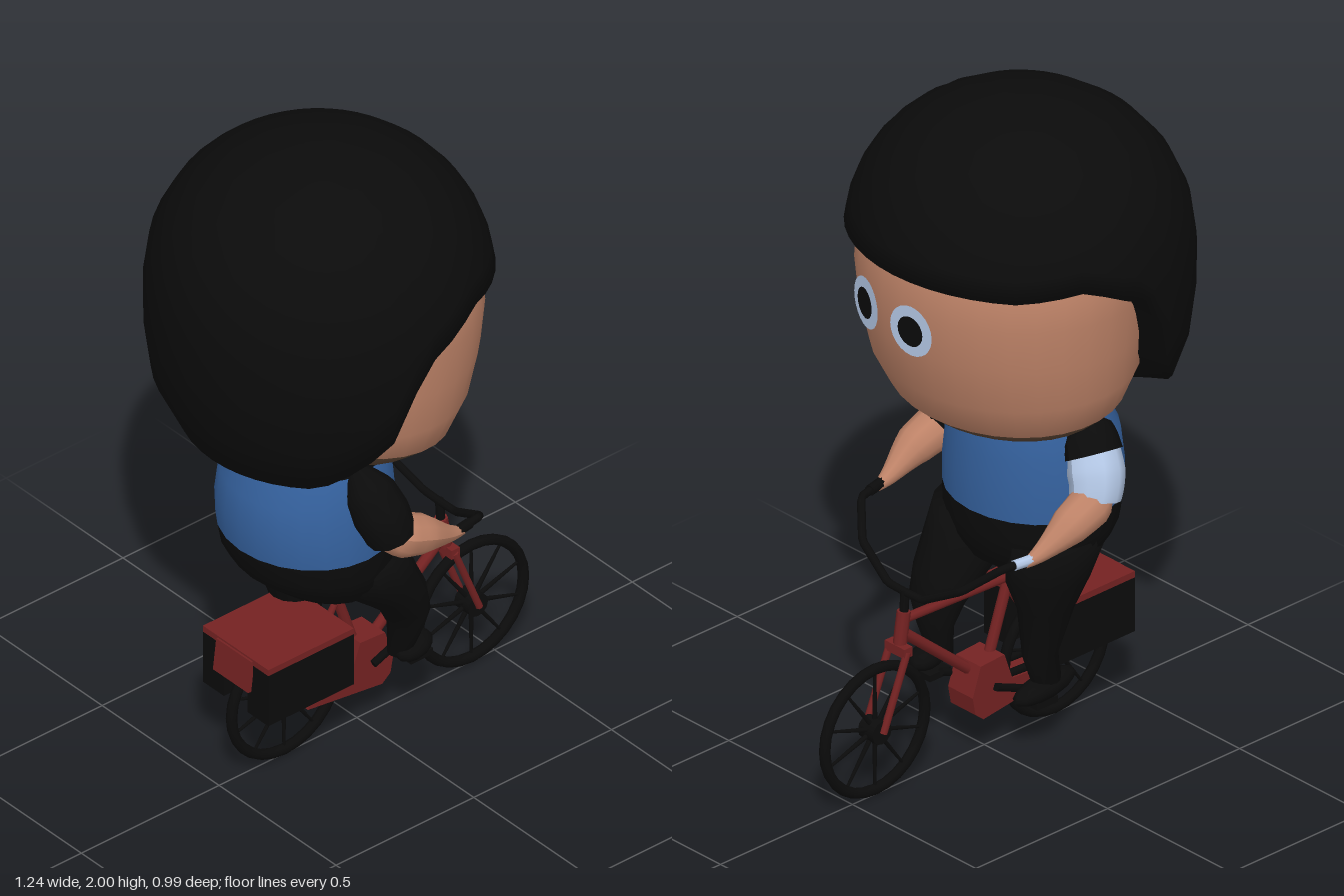
import * as THREE from 'three';

const mat = (name, color) => Object.assign(new THREE.MeshStandardMaterial({ color }), { name });
const V = (p) => new THREE.Vector3(...p);

export function createModel() {
  const model = new THREE.Group();
  const black = mat('black', 0x0b0b0b), skin = mat('skin', 0xbd8267), blue = mat('shirt blue', 0x34609c);
  const red = mat('frame red', 0x742222), pale = mat('pale blue white', 0xb4c8e6), stubble = mat('stubble brown', 0x5a4433);

  const add = (name, geo, material, parent = model) => {
    const m = new THREE.Mesh(geo, material);
    m.name = name;
    parent.add(m);
    return m;
  };

  // Closed skin over rows of points, bottom to top; splits = rows where the material changes
  const skinRows = (rows, splits = []) => {
    const n = rows[0].length, pos = [], idx = [];
    rows.forEach((r) => r.forEach((p) => pos.push(...p)));
    const centre = (row) => {
      for (let k = 0; k < 3; k++) pos.push(row.reduce((s, p) => s + p[k], 0) / n);
      return pos.length / 3 - 1;
    };
    const lo = centre(rows[0]), hi = centre(rows.at(-1)), last = (rows.length - 1) * n;
    for (let j = 0; j < n; j++) idx.push(lo, j, (j + 1) % n);
    for (let i = 0; i < rows.length - 1; i++) {
      for (let j = 0; j < n; j++) {
        const a = i * n + j, b = i * n + (j + 1) % n;
        idx.push(a, a + n, b, b, a + n, b + n);
      }
    }
    for (let j = 0; j < n; j++) idx.push(hi, last + (j + 1) % n, last + j);
    const g = new THREE.BufferGeometry();
    g.setAttribute('position', new THREE.Float32BufferAttribute(pos, 3));
    g.setIndex(idx);
    if (splits.length) {
      const cuts = [0, ...splits.map((k) => n * 3 + k * n * 6), idx.length];
      for (let k = 0; k < cuts.length - 1; k++) g.addGroup(cuts[k], cuts[k + 1] - cuts[k], k);
    }
    g.computeVertexNormals();
    return g;
  };
  // Ellipse rings: [y, centre x, radius x, radius z, centre z, tilt]
  const loft = (rings, n, splits) => skinRows(rings.map(([y, cx, rx, rz, cz = 0, tilt = 0]) =>
    Array.from({ length: n }, (_, j) => {
      const a = j / n * Math.PI * 2;
      return [cx + rx * Math.cos(a), y + tilt * Math.cos(a), cz + rz * Math.sin(a)];
    })), splits);

  // Tapered limb along a smooth path
  const limb = (points, radii, sides = 10) => {
    const curve = new THREE.CatmullRomCurve3(points.map(V)), steps = 14;
    const g = new THREE.TubeGeometry(curve, steps, 1, sides), p = g.attributes.position;
    for (let i = 0; i <= steps; i++) {
      const c = curve.getPointAt(i / steps), t = i / steps * (radii.length - 1), k = Math.min(Math.floor(t), radii.length - 2);
      const r = THREE.MathUtils.lerp(radii[k], radii[k + 1], t - k);
      for (let j = 0; j <= sides; j++) {
        const q = i * (sides + 1) + j, v = new THREE.Vector3().fromBufferAttribute(p, q).sub(c).multiplyScalar(r).add(c);
        p.setXYZ(q, v.x, v.y, v.z);
      }
    }
    g.computeVertexNormals();
    return g;
  };
  // Straight rod between two points
  const rod = (name, a, b, r, material, parent = model, r2 = r) => {
    const d = V(b).sub(V(a));
    const m = add(name, new THREE.CylinderGeometry(r2, r, d.length(), 8), material, parent);
    m.position.copy(V(a)).addScaledVector(d, 0.5);
    m.quaternion.setFromUnitVectors(new THREE.Vector3(0, 1, 0), d.normalize());
    return m;
  };
  const box = (name, x, y, z, w, h, d, material) => {
    const m = add(name, new THREE.BoxGeometry(w, h, d), material);
    m.position.set(x, y, z);
    return m;
  };

  // Head with stubble under the jaw
  add('head', loft([
    [1.03, -0.03, 0.07, 0.11], [1.055, -0.05, 0.16, 0.24], [1.09, -0.08, 0.24, 0.31, 0, -0.01],
    [1.145, -0.085, 0.29, 0.375, 0, -0.03], [1.24, -0.08, 0.345, 0.41, 0, -0.015], [1.37, -0.07, 0.37, 0.43],
    [1.5, -0.07, 0.385, 0.44], [1.6, -0.08, 0.385, 0.44], [1.75, -0.1, 0.36, 0.4], [1.88, -0.12, 0.25, 0.28],
  ], 32, [3]), [stubble, skin]);

  // Hair shell: its lower edge follows a hairline given by cos(azimuth) -> y
  const hairline = [[-1, 1.12], [-0.67, 1.12], [-0.36, 1.25], [-0.24, 1.31], [-0.13, 1.46], [-0.03, 1.54], [0.36, 1.63], [0.7, 1.61], [1, 1.62]];
  const edgeY = (c) => {
    const k = Math.max(1, hairline.findIndex((h) => h[0] >= c - 1e-6)), [a, b] = [hairline[k - 1], hairline[k]];
    return THREE.MathUtils.mapLinear(c, a[0], b[0], a[1], b[1]);
  };
  const hairPoint = (a, y, scale = 1) => {
    const up = y > 1.55, t = Math.min(1, Math.abs(y - 1.55) / (up ? 0.45 : 0.55)), e = up ? 2.15 : 3;
    const r = scale * Math.pow(1 - Math.pow(t, e), 1 / e);
    return [-0.135 + 0.487 * r * Math.cos(a), y, 0.495 * r * Math.sin(a)];
  };
  const hairRows = [];
  for (let i = -1; i <= 9; i++) {
    hairRows.push(Array.from({ length: 48 }, (_, j) => {
      const a = j / 48 * Math.PI * 2, low = edgeY(Math.cos(a));
      return hairPoint(a, THREE.MathUtils.lerp(low, 1.998, Math.sin(Math.max(0, i) / 9 * Math.PI / 2)), i < 0 ? 0.72 : 1);
    }));
  }
  add('hair', skinRows(hairRows), black);

  // Eyes
  for (const [x, z, turn] of [[0.291, 0.155, 0.318], [0.311, -0.045, -0.09]]) {
    const eye = new THREE.Group();
    eye.name = 'eye';
    eye.position.set(x, 1.45, z);
    eye.rotation.y = Math.PI / 2 - turn;
    add('eyeWhite', new THREE.CircleGeometry(0.077, 24), pale, eye).position.z = 0.01;
    add('pupil', new THREE.CircleGeometry(0.046, 18), black, eye).position.z = 0.014;
    model.add(eye);
  }

  // Torso: trouser seat, shirt, collar
  add('torso', loft([
    [0.55, -0.14, 0.08, 0.14], [0.59, -0.15, 0.16, 0.21], [0.65, -0.17, 0.21, 0.25], [0.7, -0.18, 0.23, 0.265],
    [0.765, -0.185, 0.24, 0.265], [0.85, -0.187, 0.243, 0.265], [0.95, -0.185, 0.237, 0.25],
    [1.03, -0.17, 0.21, 0.225], [1.08, -0.17, 0.195, 0.2],
  ], 24, [4, 7]), [black, blue, black]);

  // Legs: one raised forward, one reaching down
  add('leftLeg', loft([
    [0.26, 0.06, 0.033, 0.035, 0.11], [0.36, 0.07, 0.045, 0.06, 0.125], [0.44, 0.055, 0.07, 0.09, 0.13],
    [0.52, 0, 0.11, 0.108, 0.13], [0.6, -0.07, 0.14, 0.12, 0.135], [0.7, -0.13, 0.16, 0.12, 0.14],
  ], 14), black);
  add('rightLeg', loft([
    [0.18, -0.13, 0.045, 0.03, -0.12], [0.3, -0.105, 0.058, 0.042, -0.115], [0.45, -0.12, 0.085, 0.08, -0.12],
    [0.55, -0.12, 0.13, 0.11, -0.13], [0.68, -0.15, 0.17, 0.12, -0.14],
  ], 14), black);
  for (const [name, x, y, z, len, turn] of [['leftShoe', 0.1, 0.27, 0.125, 0.075, 0.35], ['rightShoe', -0.12, 0.188, -0.115, 0.13, 0.15]]) {
    const shoe = add(name, new THREE.SphereGeometry(1, 12, 8), black);
    shoe.scale.set(len, 0.034, 0.045);
    shoe.position.set(x, y, z);
    shoe.rotation.y = turn;
  }

  // Arms reaching for the grips
  for (const s of [1, -1]) {
    const side = s > 0 ? 'left' : 'right';
    add(side + 'Sleeve', limb([[-0.18, 1.04, s * 0.2], [-0.17, 0.98, s * 0.255], [-0.15, 0.9, s * 0.295], [-0.135, 0.85, s * 0.305]], [0.03, 0.075, 0.082, 0.072]), s > 0 ? black : pale);
    if (s < 0) add('rightShoulder', limb([[-0.17, 1.045, -0.19], [-0.17, 1.0, -0.245], [-0.165, 0.965, -0.265]], [0.03, 0.078, 0.085]), black);
    add(side + 'Forearm', limb([[-0.16, 0.91, s * 0.29], [-0.14, 0.86, s * 0.305], [-0.03, 0.81, s * 0.315], [0.08, 0.755, s * 0.305], [0.13, 0.74, s * 0.3]], [0.02, 0.066, 0.058, 0.033, 0.012]), skin);
    // Handlebar half and grip
    const bar = new THREE.CurvePath();
    const pts = [[0.1, 0.75, 0.305], [0.2, 0.745, 0.285], [0.275, 0.67, 0.2], [0.3, 0.6, 0.07], [0.3, 0.598, 0]].map(([x, y, z]) => V([x, y, s * z]));
    for (let i = 0; i < 4; i++) bar.add(new THREE.LineCurve3(pts[i], pts[i + 1]));
    add(side + 'Handlebar', new THREE.TubeGeometry(bar, 24, 0.012, 8), black);
    rod(side + 'Grip', [0.08, 0.75, s * 0.308], [0.16, 0.747, s * 0.293], 0.016, s > 0 ? black : pale);
  }

  // Wheels
  for (const [name, x] of [['frontWheel', 0.415], ['rearWheel', -0.265]]) {
    const wheel = new THREE.Group();
    wheel.name = name;
    wheel.position.set(x, 0.207, 0);
    add('tyre', new THREE.TorusGeometry(0.19, 0.016, 8, 28), black, wheel);
    add('hub', new THREE.CylinderGeometry(0.036, 0.036, 0.06, 12), black, wheel).rotation.x = Math.PI / 2;
    for (let i = 0; i < 10; i++) {
      const a = (i + 0.5) / 10 * Math.PI * 2;
      rod('spoke', [0, 0, 0], [0.185 * Math.cos(a), 0.185 * Math.sin(a), 0], 0.008, black, wheel, 0.004);
    }
    model.add(wheel);
  }

  // Frame, fork and seat
  rod('headTube', [0.32, 0.44, 0], [0.305, 0.54, 0], 0.02, red);
  rod('stem', [0.305, 0.53, 0], [0.3, 0.605, 0], 0.013, black);
  rod('topTube', [-0.1, 0.5, 0], [0.31, 0.515, 0], 0.014, red);
  rod('downTube', [0.02, 0.23, 0], [0.31, 0.475, 0], 0.016, red);
  rod('seatTube', [0.0, 0.23, 0], [-0.12, 0.58, 0], 0.016, red);
  box('seat', -0.15, 0.565, 0, 0.2, 0.04, 0.12, black);
  box('forkCrown', 0.325, 0.43, 0, 0.03, 0.03, 0.08, red);
  for (const s of [1, -1]) {
    rod('forkBlade', [0.325, 0.43, s * 0.035], [0.415, 0.207, s * 0.035], 0.011, red);
    rod('chainStay', [0.0, 0.22, s * 0.035], [-0.265, 0.207, s * 0.035], 0.012, black);
    rod('seatStay', [-0.09, 0.49, s * 0.035], [-0.265, 0.207, s * 0.035], 0.01, red);
    box('pannier', -0.285, 0.335, s * 0.095, 0.31, 0.17, 0.09, black);
  }
  // Rack top and tail flap
  box('rackTop', -0.285, 0.43, 0, 0.31, 0.02, 0.28, red);
  box('tailFlap', -0.447, 0.385, 0, 0.012, 0.1, 0.15, red).rotation.z = -0.12;

  // Chain case
  const outline = [[-0.22, 0.155], [0.05, 0.12], [0.08, 0.145], [0.09, 0.2], [0.06, 0.29], [-0.03, 0.295], [-0.06, 0.21], [-0.2, 0.2]];
  const chainCase = new THREE.ExtrudeGeometry(new THREE.Shape(outline.map((p) => new THREE.Vector2(...p))), { depth: 0.1, bevelEnabled: false });
  add('chainCase', chainCase.translate(0, 0, -0.05), red);

  // Cranks and pedals
  for (const [x, y, s] of [[0.11, 0.25, 1], [-0.1, 0.165, -1]]) {
    rod('crank', [0.01, 0.21, s * 0.058], [x, y, s * 0.058], 0.012, black);
    box('pedal', x, y - 0.01, s * 0.105, 0.08, 0.02, 0.09, black);
  }
  return model;
}
